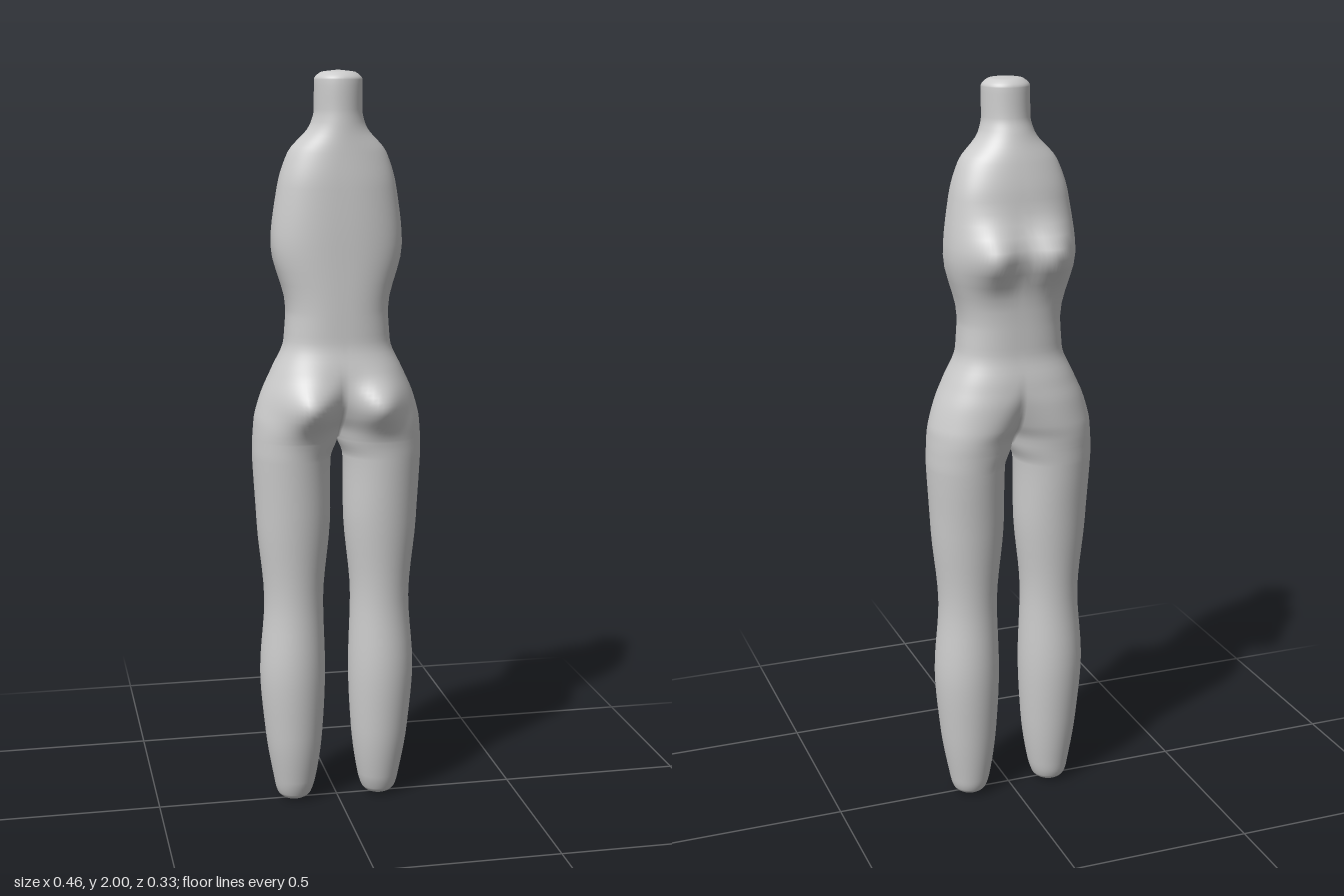
import * as THREE from 'three';
import { mergeVertices } from 'three/addons/utils/BufferGeometryUtils.js';

// Half-body sections: y, centre x, outer radius, inner radius, centre z, depth radius
const SECTIONS = [
  [0, .12, 0, 0, -.005, 0],
  [.004, .12, .03, .03, -.005, .03],
  [.02, .12, .047, .047, -.005, .048],
  [.06, .119, .058, .058, -.003, .06],
  [.2, .121, .079, .079, 0, .08],
  [.38, .124, .09, .09, 0, .09],
  [.58, .12, .081, .081, 0, .08],
  [.8, .12, .1, .1, 0, .095],
  [.98, .124, .106, .106, -.002, .11],
  [1.03, .12, .109, .12, -.002, .114],
  [1.06, .115, .112, .122, -.002, .117],
  [1.1, .095, .127, .125, -.003, .12],
  [1.16, .065, .138, .13, -.002, .121],
  [1.22, .03, .145, .13, 0, .117],
  [1.3, 0, .141, .13, 0, .104],
  [1.38, 0, .136, .13, 0, .104],
  [1.55, 0, .174, .13, -.003, .106],
  [1.7, 0, .157, .13, 0, .1],
  [1.79, 0, .13, .13, .006, .088],
  [1.86, 0, .073, .13, .015, .073],
  [1.9, 0, .063, .13, .02, .065],
  [1.975, 0, .063, .13, .022, .062],
  [1.994, 0, .045, .13, .021, .045],
  [2, 0, 0, .13, .02, 0],
];

// Tangent of column c at key i, limited so the outline never overshoots
function slope(i, c) {
  const d = (k) => (SECTIONS[k + 1][c] - SECTIONS[k][c]) / (SECTIONS[k + 1][0] - SECTIONS[k][0]);
  if (i === 0) return d(0);
  if (i === SECTIONS.length - 1) return d(i - 1);
  const a = d(i - 1), b = d(i);
  return a * b <= 0 ? 0 : (2 * a * b) / (a + b);
}

// Smooth section between keys i and i + 1
function sectionAt(i, t) {
  const A = SECTIONS[i], B = SECTIONS[i + 1], h = B[0] - A[0];
  return A.map((v, c) => c === 0 ? v + h * t :
    v * (1 + 2 * t) * (1 - t) ** 2 + B[c] * t * t * (3 - 2 * t) +
    h * (slope(i, c) * t * (1 - t) ** 2 + slope(i + 1, c) * t * t * (t - 1)));
}

// Pair of rounded swellings, mirrored across x = 0
function swelling(x, y, cx, cy, sx, sy) {
  const g = (u) => Math.exp(-((u / sx) ** 2));
  return (g(x - cx) + g(x + cx)) * Math.exp(-(((y - cy) / sy) ** 2));
}

const AROUND = 48, STEPS = 5;

// Points of one half section, from front midline round the outside to the back
function ring([y, cx, ro, ri, zc, d]) {
  const { smoothstep } = THREE.MathUtils;
  const n = 2 + .5 * smoothstep(y, 1.1, 1.3) * (1 - smoothstep(y, 1.7, 1.85));
  const inner = ri > 0 ? Math.asin(Math.min(1, (cx / ri) ** (n / 2))) : Math.PI / 2;
  const pts = [];
  for (let k = 0; k <= AROUND; k++) {
    const a = -inner + (k / AROUND) * (Math.PI + 2 * inner);
    const s = Math.sin(a), c = Math.cos(a);
    const pow = (v) => Math.sign(v) * Math.abs(v) ** (2 / n);
    const x = Math.max(0, cx + (s > 0 ? ro : ri) * pow(s));
    let z = zc - d * pow(c);
    // chest at the front, seat at the back
    z -= .062 * swelling(x, y, .085, 1.56, .07, .065) * Math.max(0, c) ** .6;
    z += .05 * swelling(x, y, .095, 1.13, .065, .06) * Math.max(0, -c) ** .6;
    pts.push([x, y, z]);
  }
  return pts;
}

export function createModel() {
  const group = new THREE.Group();
  group.name = 'mannequin';

  const rings = [];
  for (let i = 0; i < SECTIONS.length - 1; i++) {
    for (let s = 0; s < STEPS; s++) rings.push(ring(sectionAt(i, s / STEPS)));
  }
  rings.push(ring(SECTIONS[SECTIONS.length - 1]));

  // Skin both halves and weld them along the midline
  const positions = [], index = [];
  for (const side of [1, -1]) {
    const base = positions.length / 3;
    for (const r of rings) for (const [x, y, z] of r) positions.push(side * x, y, z);
    for (let j = 0; j < rings.length - 1; j++) {
      for (let k = 0; k < AROUND; k++) {
        const a = base + j * (AROUND + 1) + k, b = a + AROUND + 1;
        if (side > 0) index.push(a, b, a + 1, b, b + 1, a + 1);
        else index.push(a, a + 1, b, b, a + 1, b + 1);
      }
    }
  }
  let geometry = new THREE.BufferGeometry();
  geometry.setAttribute('position', new THREE.Float32BufferAttribute(positions, 3));
  geometry.setIndex(index);
  geometry = mergeVertices(geometry, 1e-5);
  geometry.computeVertexNormals();

  const body = new THREE.Mesh(geometry, new THREE.MeshStandardMaterial({ color: 0xcccccc }));
  body.name = 'body';
  group.add(body);
  return group;
}
